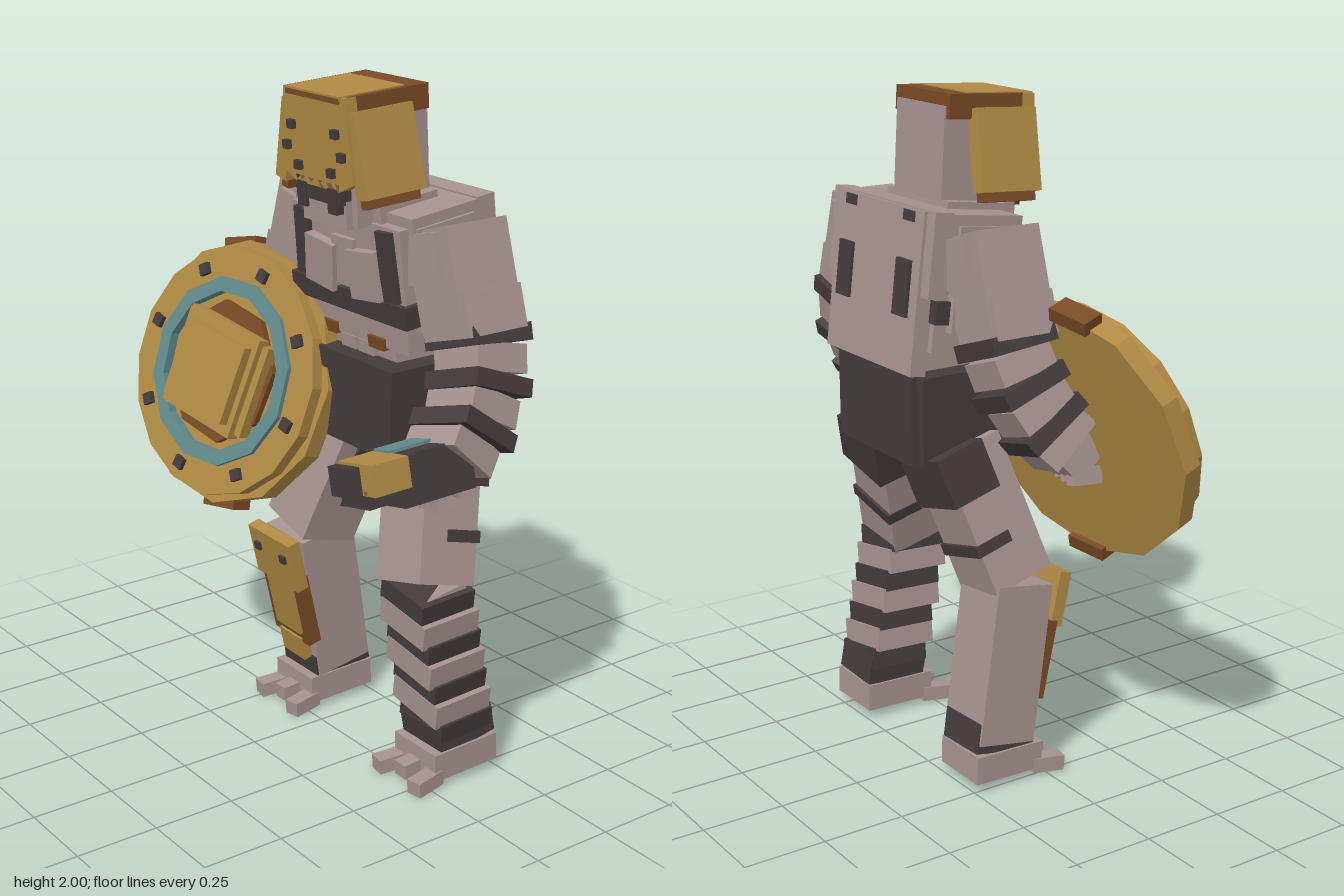
import * as THREE from 'three';

const mat = (name, color) => {
  const m = new THREE.MeshStandardMaterial({ color });
  m.name = name;
  return m;
};

export function createModel() {
  const skin = mat('skin', 0xa69290), dark = mat('dark wrap', 0x443b3b);
  const gold = mat('gold', 0xb08a44), brown = mat('brown', 0x784a25), teal = mat('teal', 0x628a8c);

  const group = (parent, name, x, y, z, rx = 0, ry = 0, rz = 0) => {
    const g = new THREE.Group();
    g.name = name;
    g.position.set(x, y, z);
    g.rotation.set(rx, ry, rz);
    parent.add(g);
    return g;
  };
  // Box given by size, centre and rotation
  const box = (parent, name, m, [w, h, d], [x, y, z], [rx, ry, rz] = [0, 0, 0]) => {
    const b = new THREE.Mesh(new THREE.BoxGeometry(w, h, d), m);
    b.name = name;
    b.position.set(x, y, z);
    b.rotation.set(rx, ry, rz);
    parent.add(b);
    return b;
  };
  // Group whose y axis runs from a to b
  const span = (parent, name, a, b) => {
    const A = new THREE.Vector3(...a), B = new THREE.Vector3(...b);
    const g = group(parent, name, ...a);
    g.quaternion.setFromUnitVectors(new THREE.Vector3(0, 1, 0), B.sub(A).normalize());
    return g;
  };

  const model = new THREE.Group();
  model.name = 'armouredFighter';
  const body = group(model, 'body', 0.14, 0, 0);

  // Torso, leaning slightly forward
  const torso = group(body, 'torso', 0, 1.25, -0.16, 0.12);
  box(torso, 'chest', skin, [0.5, 0.36, 0.28], [0, 0.22, 0]);
  box(torso, 'upperChest', skin, [0.54, 0.14, 0.26], [0, 0.36, -0.02]);
  box(torso, 'neckBase', skin, [0.32, 0.1, 0.2], [0, 0.4, 0.03]);
  box(torso, 'abdomen', skin, [0.32, 0.16, 0.24], [0, 0.02, 0]);
  box(torso, 'backPlate', skin, [0.46, 0.46, 0.05], [0, 0.2, -0.165]);
  box(torso, 'upperBack', skin, [0.54, 0.24, 0.06], [0, 0.315, -0.15]);
  box(torso, 'chestStrap', dark, [0.53, 0.065, 0.3], [0, 0.155, 0.005]);
  box(torso, 'sternum', skin, [0.1, 0.14, 0.03], [0, 0.27, 0.14]);
  for (const s of [-1, 1]) {
    box(torso, 'pectoral', skin, [0.13, 0.14, 0.04], [s * 0.1, 0.25, 0.15], [0, 0, s * 0.12]);
    box(torso, 'frontStrap', dark, [0.065, 0.2, 0.03], [s * 0.195, 0.29, 0.14], [0, 0, s * 0.06]);
    box(torso, 'backStrap', dark, [0.07, 0.16, 0.02], [s * 0.155, 0.21, -0.19]);
    box(torso, 'backStrapTop', dark, [0.06, 0.03, 0.02], [s * 0.155, 0.41, -0.182]);
    box(torso, 'sidePad', skin, [0.06, 0.3, 0.2], [s * 0.25, 0.25, 0]);
    box(torso, 'beltTab', brown, [0.07, 0.035, 0.02], [s * 0.11, 0.05, 0.14]);
    box(torso, 'abdomenBlock', skin, [0.07, 0.07, 0.03], [s * 0.04, 0.0, 0.12]);
  }

  // Pelvis
  box(body, 'pelvis', dark, [0.44, 0.24, 0.33], [0, 1.085, -0.14]);
  box(body, 'beltRim', dark, [0.46, 0.06, 0.34], [0, 1.2, -0.14]);
  box(body, 'pelvisBackPlate', dark, [0.4, 0.26, 0.05], [0, 1.1, -0.305]);

  // Head and helmet
  const head = group(body, 'head', 0, 1.8, -0.02, 0.06);
  box(head, 'skull', skin, [0.25, 0.33, 0.25], [0, -0.01, -0.025]);
  box(head, 'chin', skin, [0.2, 0.08, 0.2], [0, -0.14, 0.02]);
  box(head, 'helmetBand', brown, [0.28, 0.07, 0.27], [0, 0.155, -0.01]);
  box(head, 'helmetTop', gold, [0.25, 0.012, 0.22], [0, 0.187, 0.035]);
  const face = new THREE.Shape([[-0.14, 0.19], [-0.165, -0.04], [-0.1, -0.07], [0.1, -0.07], [0.165, -0.04], [0.14, 0.19]]
    .map(p => new THREE.Vector2(...p)));
  const visor = new THREE.Mesh(new THREE.ExtrudeGeometry(face, { depth: 0.04, bevelEnabled: false }), gold);
  visor.name = 'faceGuard';
  visor.position.z = 0.1;
  head.add(visor);
  box(head, 'browBar', brown, [0.24, 0.015, 0.01], [0, 0.18, 0.142]);
  box(head, 'mouthGuard', dark, [0.2, 0.06, 0.05], [0, -0.08, 0.115]);
  box(head, 'mouth', skin, [0.1, 0.05, 0.04], [0, -0.11, 0.115]);
  for (const s of [-1, 1]) {
    box(head, 'cheekGuard', gold, [0.05, 0.235, 0.2], [s * 0.165, 0.035, 0.03], [0, 0, s * 0.22]);
    box(head, 'cheekGuardInner', brown, [0.03, 0.25, 0.18], [s * 0.16, 0.015, 0.03], [0, 0, s * 0.22]);
    box(head, 'tusk', dark, [0.04, 0.07, 0.04], [s * 0.07, -0.1, 0.125]);
    for (const [x, y] of [[0.1, 0.09], [0.125, 0.03], [0.075, -0.02]])
      box(head, 'helmetStud', dark, [0.025, 0.025, 0.02], [s * x, y, 0.145]);
  }

  // Arms: shoulder block, then alternating wraps curling forward
  const bands = [[0.39, 1.345, -0.14], [0.408, 1.285, -0.135], [0.425, 1.222, -0.115],
    [0.437, 1.165, -0.085], [0.443, 1.11, -0.05], [0.445, 1.065, -0.01]];
  for (const s of [-1, 1]) {
    const arm = group(body, s > 0 ? 'leftArm' : 'rightArm', 0, 0, 0);
    box(arm, 'shoulder', skin, [0.18, 0.27, 0.21], [s * 0.335, 1.51, -0.13], [0, 0, s * 0.3]);
    box(arm, 'shoulderPad', skin, [0.14, 0.14, 0.25], [s * 0.3, 1.56, -0.13], [0, 0, s * 0.22]);
    box(arm, 'upperArm', skin, [0.2, 0.12, 0.2], [s * 0.375, 1.41, -0.13], [0, 0, s * 0.3]);
    bands.forEach((p, i) => box(arm, i % 2 ? 'forearmSkin' : 'forearmWrap', i % 2 ? skin : dark,
      i % 2 ? [0.175, 0.08, 0.18] : [0.205, 0.05, 0.21], [s * p[0], p[1], p[2]], [-0.1 - i * 0.13, 0, s * 0.32]));
    box(arm, 'hand', skin, [0.13, 0.1, 0.12], [s * 0.45, 1.01, 0.04], [-0.7, 0, s * 0.2]);
    for (let i = 0; i < 3; i++)
      box(arm, 'finger', skin, [0.035, 0.05, 0.1], [s * (0.42 + i * 0.042), 0.955, 0.07 - i * 0.01], [0.1, 0, s * 0.25]);
  }

  // Left gauntlet
  const gauntlet = group(body, 'gauntlet', 0.45, 1.03, 0.1, 0.03, 0, 0.2);
  box(gauntlet, 'gauntletBody', dark, [0.15, 0.14, 0.24], [0, 0, 0]);
  box(gauntlet, 'gauntletPanel', teal, [0.07, 0.01, 0.16], [-0.015, 0.074, 0.03]);
  box(gauntlet, 'gauntletMuzzle', gold, [0.15, 0.085, 0.12], [0.02, 0.03, 0.165]);
  box(gauntlet, 'gauntletUnderside', dark, [0.12, 0.05, 0.12], [0, -0.025, 0.165]);
  box(gauntlet, 'gauntletTip', dark, [0.1, 0.08, 0.04], [-0.01, 0.025, 0.235]);

  // Legs
  for (const s of [-1, 1]) {
    const leg = group(body, s > 0 ? 'leftLeg' : 'rightLeg', 0, 0, 0);
    const thigh = span(leg, 'thigh', [s * 0.28, 0.6, -0.06], [s * 0.165, 1.03, -0.18]);
    box(thigh, 'thighSkin', skin, [0.195, 0.43, 0.2], [0, 0.215, 0]);
    box(thigh, 'hipWrap', dark, [0.215, 0.15, 0.16], [0, 0.36, -0.045]);
    box(thigh, 'kneeWrap', dark, [0.202, 0.035, 0.12], [0, 0.14, -0.05]);

    const shin = span(leg, 'shin', [s * 0.305, 0.1, -0.145], [s * 0.285, 0.6, -0.06]);
    if (s > 0) {
      box(shin, 'shinCore', skin, [0.16, 0.5, 0.16], [0, 0.25, 0]);
      for (let i = 0; i < 4; i++) {
        const tilt = [-0.12, 0, -0.2];
        box(shin, 'shinWrap', dark, [0.19, 0.065, 0.19], [0, 0.085 + i * 0.13, 0], tilt);
        if (i) box(shin, 'shinSkin', skin, [0.2, 0.075, 0.2], [0, 0.02 + i * 0.13, 0.005], tilt);
      }
    } else {
      box(shin, 'shinSkin', skin, [0.19, 0.48, 0.19], [0, 0.27, 0]);
    }
    box(shin, 'ankleWrap', dark, [0.175, 0.09, 0.2], [0, 0.05, 0]);

    box(leg, 'foot', skin, [0.19, 0.085, 0.23], [s * 0.305, 0.07, -0.13], [0.03, 0, 0]);
    box(leg, 'instep', skin, [0.17, 0.04, 0.16], [s * 0.305, 0.115, -0.13]);
    for (const x of [-0.08, 0, 0.08])
      box(leg, 'toe', skin, [0.05, 0.045, 0.1], [s * 0.305 + x, x ? 0.03 : 0.045, x ? 0.01 : -0.01], [0.08, x * 2, 0]);
  }

  // Right shin guard
  const guard = group(body, 'shinGuard', -0.285, 0.4, 0.03, 0.24, 0, -0.03);
  box(guard, 'kneePlate', gold, [0.21, 0.165, 0.04], [0.015, 0.135, 0.01]);
  box(guard, 'guardFrame', brown, [0.18, 0.24, 0.045], [0, -0.05, -0.01]);
  box(guard, 'guardPanel', gold, [0.125, 0.2, 0.03], [0.005, -0.03, 0.008]);
  box(guard, 'guardFoot', gold, [0.11, 0.08, 0.03], [0, -0.195, 0.005]);
  for (const x of [-0.05, 0.08]) box(guard, 'guardStud', dark, [0.025, 0.025, 0.02], [x, 0.16, 0.03]);

  // Shield, its face turned up and to the left
  const shield = group(model, 'shield', -0.295, 1.09, 0.155);
  shield.quaternion.setFromUnitVectors(new THREE.Vector3(0, 0, 1), new THREE.Vector3(0.17, 0.3, 1).normalize());
  const disc = (name, m, outer, inner, z0, z1, sides, turn = 0) => {
    const pts = r => Array.from({ length: sides }, (_, i) => {
      const a = turn + i / sides * Math.PI * 2;
      return new THREE.Vector2(r * Math.cos(a), r * Math.sin(a));
    });
    const shape = new THREE.Shape(pts(outer));
    if (inner) shape.holes.push(new THREE.Path(pts(inner)));
    const mesh = new THREE.Mesh(new THREE.ExtrudeGeometry(shape, { depth: z1 - z0, bevelEnabled: false }), m);
    mesh.name = name;
    mesh.position.z = z0;
    shield.add(mesh);
  };
  disc('shieldBack', gold, 0.4, 0, -0.1, -0.04, 12, 0.1);
  disc('shieldRim', gold, 0.375, 0.27, -0.04, 0, 16, 0.1);
  disc('shieldFloor', gold, 0.28, 0, -0.04, -0.015, 12);
  disc('shieldRing', teal, 0.285, 0.24, -0.03, 0.015, 12, 0.26);
  disc('innerDisc', brown, 0.215, 0, -0.02, 0.005, 8, 0.2);
  box(shield, 'bossBase', gold, [0.36, 0.28, 0.04], [0.005, 0, 0.015], [0, 0, -0.15]);
  box(shield, 'bossMiddle', gold, [0.31, 0.31, 0.04], [0.005, 0.0, 0.035], [0, 0, -0.15]);
  box(shield, 'bossTop', gold, [0.26, 0.24, 0.04], [0.01, 0, 0.065], [0, 0, -0.15]);
  for (let i = 0; i < 8; i++) {
    const a = 1.29 + i * Math.PI / 4;
    box(shield, 'shieldStud', dark, [0.035, 0.035, 0.02], [0.32 * Math.cos(a), 0.32 * Math.sin(a), 0.005], [0, 0, a]);
  }
  for (const a of [1.8, 4.85])
    box(shield, 'rimBlock', brown, [0.04, 0.13, 0.07], [0.39 * Math.cos(a), 0.39 * Math.sin(a), -0.085], [0, 0, a]);

  return model;
}
